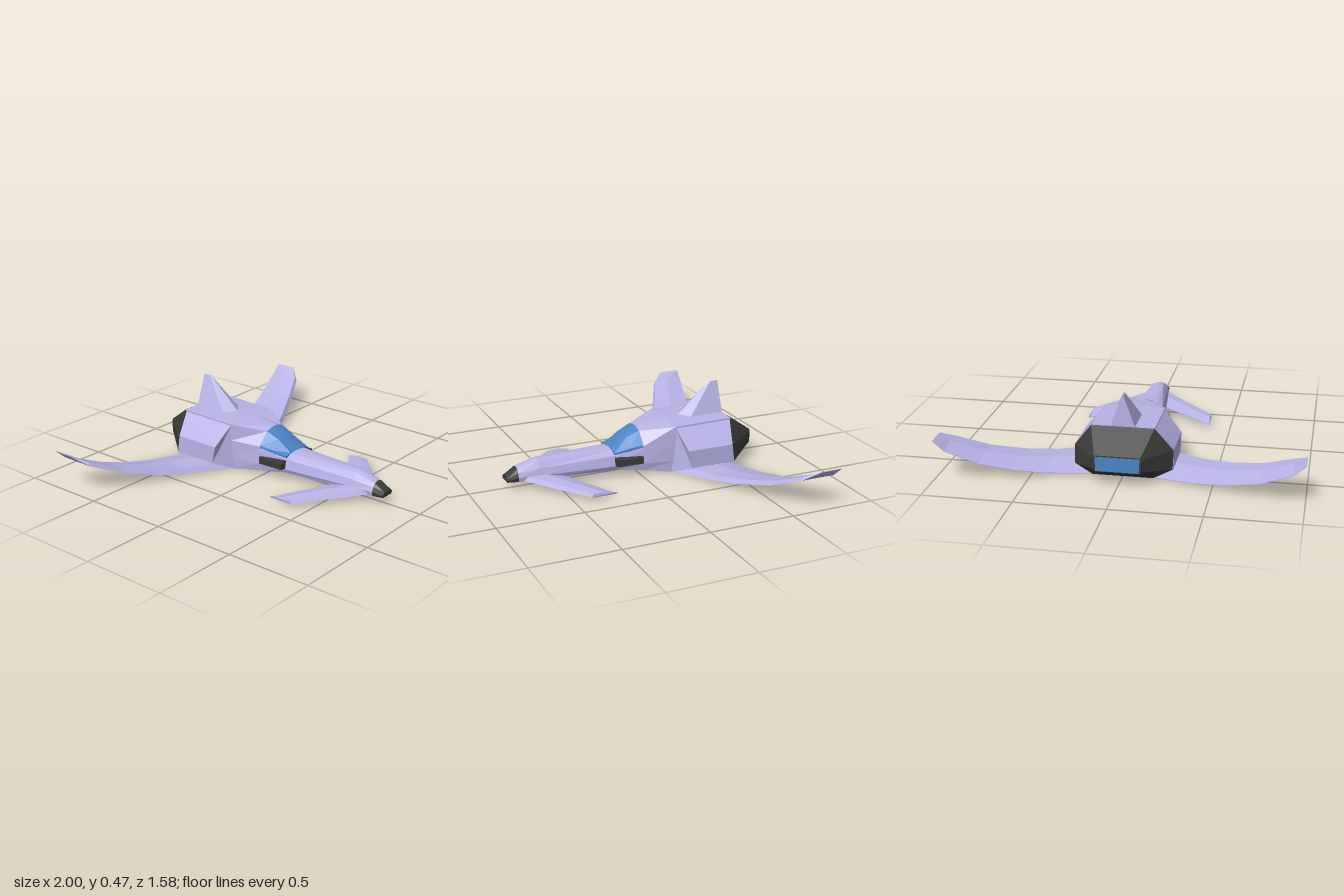
import * as THREE from 'three';

const paint = (color) => new THREE.MeshStandardMaterial({ color, flatShading: true });

// Skins a row of rings (arrays of [x, y, z]), closes both ends and faces it outward.
function loft(name, rings, material) {
  const tris = [];
  const n = rings[0].length;
  for (let i = 0; i < rings.length - 1; i++) {
    const a = rings[i], b = rings[i + 1];
    for (let j = 0; j < n; j++) {
      const k = (j + 1) % n;
      tris.push([a[j], b[j], b[k]], [a[j], b[k], a[k]]);
    }
  }
  const first = rings[0], last = rings[rings.length - 1];
  for (let j = 1; j < n - 1; j++) {
    tris.push([first[0], first[j], first[j + 1]], [last[0], last[j + 1], last[j]]);
  }
  const v = (p) => new THREE.Vector3(...p);
  const volume = tris.reduce((sum, [a, b, c]) => sum + v(a).dot(v(b).cross(v(c))), 0);
  const points = tris.flatMap(([a, b, c]) => (volume < 0 ? [a, c, b] : [a, b, c]));
  const geometry = new THREE.BufferGeometry();
  geometry.setAttribute('position', new THREE.Float32BufferAttribute(points.flat(), 3));
  geometry.computeVertexNormals();
  const mesh = new THREE.Mesh(geometry, material);
  mesh.name = name;
  return mesh;
}

// Symmetric ring from a half outline of [x, y] running bottom to top.
const ring = (z, ...half) => [
  ...half.map(([x, y, dz = 0]) => [x, y, z + dz]),
  ...half.slice().reverse().map(([x, y, dz = 0]) => [-x, y, z + dz]),
];

export function createModel() {
  const model = new THREE.Group();
  const hull = paint(0xb8b3e6), dark = paint(0x3b3b39), blue = paint(0x4a84c6);
  const add = (...args) => model.add(loft(...args));

  // Long forward fuselage and its dark tip
  const noseBase = ring(0.72, [0.05, 0.045], [0.055, 0.07], [0.045, 0.095], [0.03, 0.115], [0.01, 0.12]);
  add('forwardFuselage', [
    noseBase,
    ring(0.6, [0.06, 0.045], [0.068, 0.07], [0.058, 0.11], [0.036, 0.147], [0.01, 0.155]),
    ring(0.15, [0.1, 0.045], [0.112, 0.07], [0.1, 0.13], [0.06, 0.152], [0.01, 0.158]),
    ring(-0.015, [0.13, 0.025], [0.14, 0.07], [0.135, 0.16], [0.07, 0.165], [0.01, 0.17]),
  ], hull);
  add('noseTip', [
    ring(0.785, [0.042, 0.048], [0.046, 0.058], [0.044, 0.066], [0.025, 0.074], [0.01, 0.076]),
    noseBase,
  ], dark);

  // Cockpit glass
  add('canopy', [
    ring(0.152, [0.1, 0.135], [0.1, 0.145], [0.06, 0.157], [0.02, 0.16]),
    ring(0.065, [0.12, 0.15], [0.118, 0.168], [0.062, 0.217], [0.02, 0.225]),
    ring(-0.015, [0.137, 0.168], [0.134, 0.182], [0.07, 0.252], [0.02, 0.265]),
  ], blue);

  // Main body behind the cockpit
  add('mainBody', [
    ring(-0.015, [0.13, 0.025], [0.14, 0.07], [0.135, 0.175], [0.07, 0.25], [0.02, 0.265]),
    ring(-0.2, [0.17, 0], [0.174, 0.07], [0.176, 0.18], [0.175, 0.28], [0.03, 0.287]),
    ring(-0.56, [0.17, 0], [0.174, 0.07], [0.176, 0.18], [0.175, 0.287], [0.03, 0.293]),
  ], hull);

  // Tapering engine housing with a glowing outlet
  add('engineHousing', [
    ring(-0.56, [0.17, 0], [0.272, 0.05, 0.02], [0.275, 0.157, 0.035], [0.175, 0.289]),
    ring(-0.72, [0.12, 0.085], [0.13, 0.1], [0.132, 0.165], [0.125, 0.177]),
  ], dark);
  add('engineGlow', [
    ring(-0.71, [0.118, 0.09], [0.122, 0.17]),
    ring(-0.724, [0.118, 0.09], [0.122, 0.17]),
  ], blue);

  // Tail fin
  const finTop = [[0, -0.505], [0.004, -0.51], [0.004, -0.56], [-0.004, -0.56], [-0.004, -0.51]];
  const finBase = [[0, -0.295], [0.07, -0.35], [0.07, -0.56], [-0.07, -0.56], [-0.07, -0.35]];
  add('tailFin', [
    finBase.map(([x, z]) => [x, 0.284, z]),
    finTop.map(([x, z]) => [x, 0.468, z]),
  ], hull);

  // Wing stations: x, underside height, leading z, trailing z, thickness
  const wing = [
    [0, 0, -0.17, -0.55, 0.04],
    [0.17, 0.001, -0.2, -0.56, 0.045],
    [0.27, 0.006, -0.25, -0.59, 0.036],
    [0.42, 0.016, -0.325, -0.635, 0.028],
    [0.58, 0.04, -0.405, -0.685, 0.027],
    [0.76, 0.087, -0.495, -0.742, 0.025],
    [0.935, 0.165, -0.582, -0.785, 0.022],
    [1, 0.222, -0.66, -0.79, 0.004],
  ];
  // Foreplane stations in the same order
  const foreplane = [
    [0.03, 0.046, 0.71, 0.47, 0.026],
    [0.08, 0.044, 0.665, 0.45, 0.025],
    [0.37, 0.018, 0.405, 0.262, 0.02],
    [0.375, 0.024, 0.32, 0.255, 0.008],
  ];
  const blade = (rows, side) => rows.map(([x, y, front, back, t]) => [
    [side * x, y, front],
    [side * x, y + t, front - t * 0.6],
    [side * x, y + t * 1.15, front + (back - front) * 0.5],
    [side * x, y + 0.004, back],
    [side * x, y, back],
  ]);

  for (const [label, side] of [['left', 1], ['right', -1]]) {
    add(label + 'Wing', blade(wing, side), hull);
    add(label + 'Foreplane', blade(foreplane, side), hull);

    // Angular shoulder pod beside the main body
    const pod = (x, points) => points.map(([z, y]) => [side * x, y, z]);
    add(label + 'ShoulderPod', [
      pod(0.165, [[-0.18, 0], [-0.56, 0], [-0.56, 0.287], [-0.2, 0.282]]),
      pod(0.275, [[-0.265, 0.05], [-0.54, 0.05], [-0.525, 0.157], [-0.24, 0.157]]),
    ], hull);

    // Air intake on the cheek
    const intake = (z, inner, outer) => [
      [inner, 0.072], [outer, 0.076], [outer, 0.115], [inner, 0.123],
    ].map(([x, y]) => [side * x, y, z]);
    add(label + 'Intake', [intake(0.152, 0.09, 0.147), intake(-0.01, 0.11, 0.152)], dark);
  }
  return model;
}
